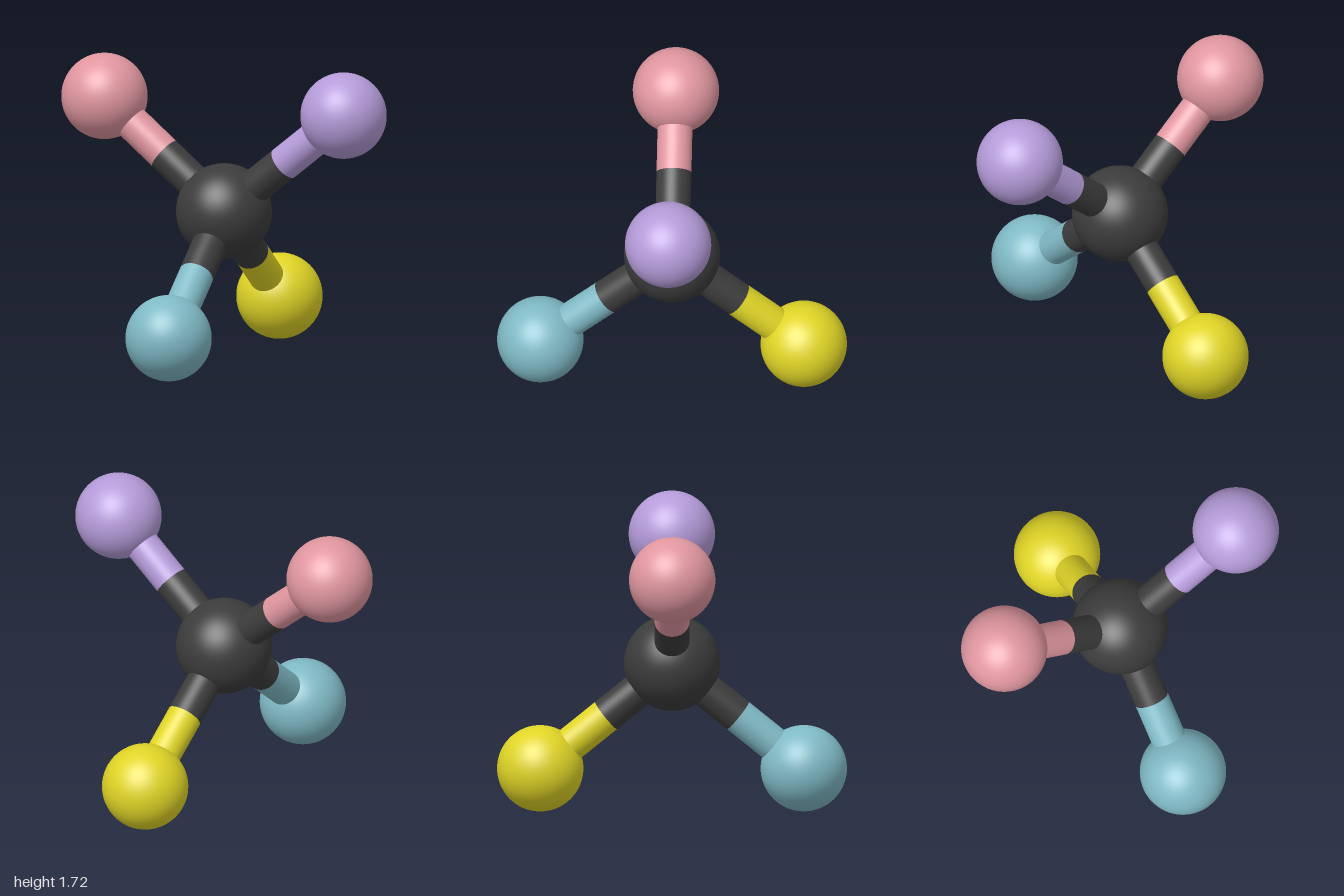
import * as THREE from 'three';

const CENTRE = new THREE.Vector3(0, 0.86, 0);
const UP = new THREE.Vector3(0, 1, 0);

function material(name, color) {
  const m = new THREE.MeshStandardMaterial({ color });
  m.name = name;
  return m;
}

function ball(name, radius, position, mat) {
  const mesh = new THREE.Mesh(new THREE.SphereGeometry(radius, 64, 40), mat);
  mesh.name = name;
  mesh.position.copy(position);
  return mesh;
}

// Straight round rod between two points
function rod(name, from, to, mat) {
  const axis = to.clone().sub(from);
  const mesh = new THREE.Mesh(new THREE.CylinderGeometry(0.1, 0.1, axis.length(), 48), mat);
  mesh.name = name;
  mesh.position.copy(from).add(to).multiplyScalar(0.5);
  mesh.quaternion.setFromUnitVectors(UP, axis.normalize());
  return mesh;
}

export function createModel() {
  const model = new THREE.Group();
  model.name = 'tetrahedralMolecule';
  const charcoal = material('charcoal', 0x3c3c3c);

  // Central ball
  model.add(ball('centreBall', 0.275, CENTRE, charcoal));

  // Four arms: two raised sideways, two lowered to front and back
  const arms = [
    ['left', 0.753, 0.613, 0, material('lavender', 0xb59bd9)],
    ['right', -0.753, 0.613, 0, material('pink', 0xe0969f)],
    ['front', 0, -0.613, 0.753, material('teal', 0x7fb9c5)],
    ['back', 0, -0.613, -0.753, material('yellow', 0xdfd426)],
  ];
  for (const [side, x, y, z, mat] of arms) {
    const end = new THREE.Vector3(x, y, z).add(CENTRE);
    const middle = CENTRE.clone().lerp(end, 0.5);
    const arm = new THREE.Group();
    arm.name = side + 'Arm';
    arm.add(
      rod(side + 'InnerRod', CENTRE, middle, charcoal),
      rod(side + 'OuterRod', middle, end, mat),
      ball(side + 'Ball', 0.247, end, mat),
    );
    model.add(arm);
  }
  return model;
}
